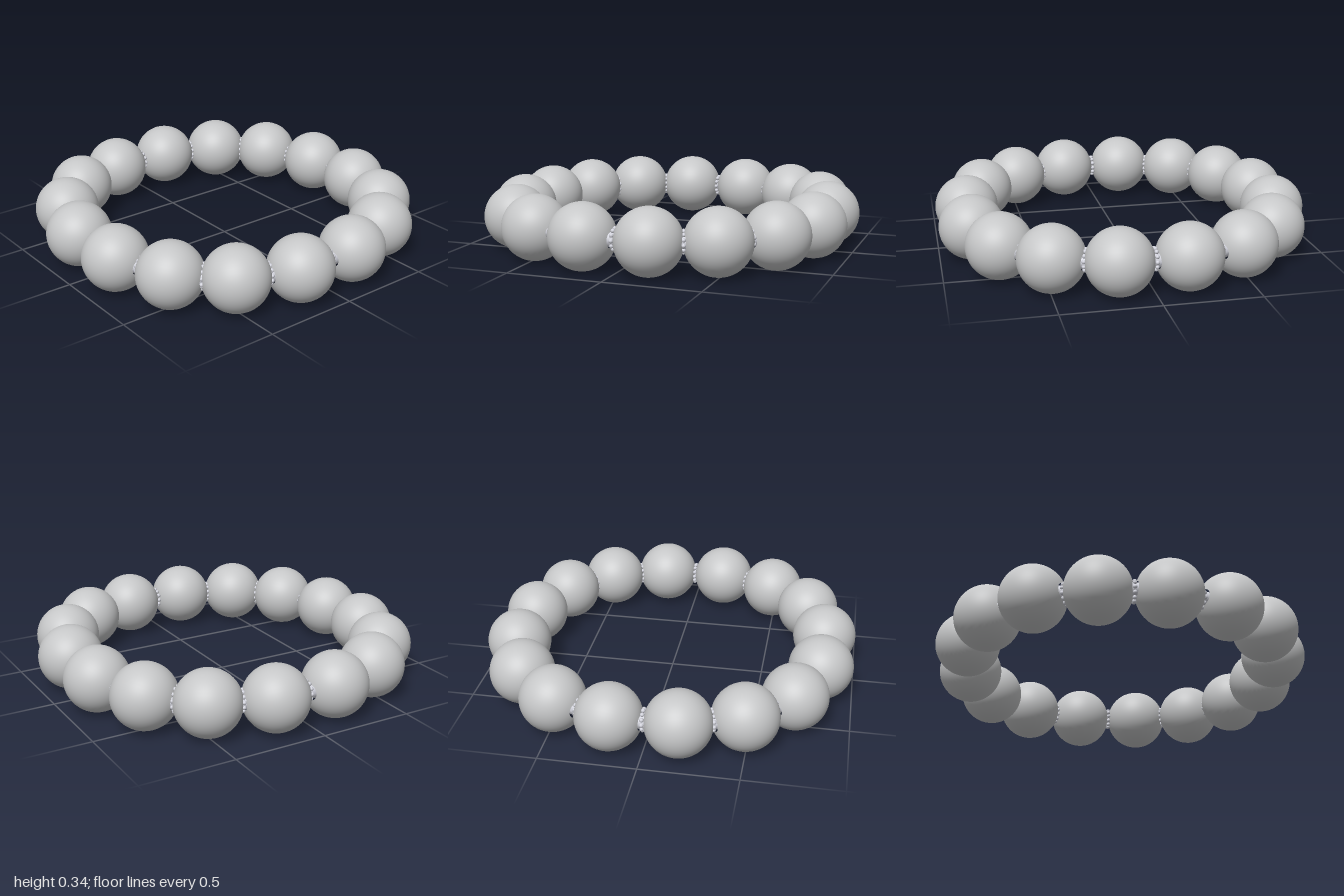
import * as THREE from 'three';

const BEAD_R = 0.172;
const HOLE_R = 0.04;
const UP = new THREE.Vector3(0, 1, 0);

// Round bead with a drilled hole along its local y axis
function beadGeometry() {
  const start = Math.asin(HOLE_R / BEAD_R);
  const points = [];
  for (let i = 0; i <= 32; i++) {
    const a = Math.PI - start - (i / 32) * (Math.PI - 2 * start);
    points.push(new THREE.Vector2(BEAD_R * Math.sin(a), BEAD_R * Math.cos(a)));
  }
  return new THREE.LatheGeometry(points, 48);
}

// Bead centres: one quarter of the loop, turned four times
function beadCentres() {
  const quarter = [[0.174, 0.827], [0.488, 0.715], [0.715, 0.488], [0.827, 0.174]];
  const centres = [];
  for (let q = 0; q < 4; q++) {
    for (const [x, z] of quarter) {
      centres.push(new THREE.Vector3(x, BEAD_R, z).applyAxisAngle(UP, q * Math.PI / 2));
    }
  }
  return centres;
}

export function createModel() {
  const pearl = new THREE.MeshStandardMaterial({ color: 0xc6c7c8 });
  pearl.name = 'pearl grey';
  const silver = new THREE.MeshStandardMaterial({ color: 0xd2d3dc });
  silver.name = 'pale silver';

  const group = new THREE.Group();
  group.name = 'beadBracelet';
  const centres = beadCentres();
  const beadGeo = beadGeometry();
  const studGeo = new THREE.SphereGeometry(0.011, 10, 8);

  centres.forEach((centre, i) => {
    const next = centres[(i + 1) % centres.length];
    const prev = centres[(i + centres.length - 1) % centres.length];

    // Bead, its hole following the loop
    const bead = new THREE.Mesh(beadGeo, pearl);
    bead.name = 'bead';
    bead.position.copy(centre);
    bead.quaternion.setFromUnitVectors(UP, next.clone().sub(prev).normalize());
    group.add(bead);

    // Spacer: a ring of tiny studs where two beads meet
    const step = next.clone().sub(centre);
    const half = step.length() / 2;
    const crease = Math.sqrt(Math.max(0, BEAD_R ** 2 - half ** 2));
    const ringR = Math.max(0.052, crease);
    const spacer = new THREE.Group();
    spacer.name = 'spacer';
    spacer.position.copy(centre).add(next).multiplyScalar(0.5);
    spacer.quaternion.setFromUnitVectors(UP, step.normalize());
    for (let k = 0; k < 12; k++) {
      const a = k * Math.PI / 6;
      const stud = new THREE.Mesh(studGeo, silver);
      stud.name = 'spacerStud';
      stud.position.set(ringR * Math.cos(a), 0, ringR * Math.sin(a));
      spacer.add(stud);
    }
    group.add(spacer);
  });

  // Cord threaded through the beads
  const cordPath = new THREE.CatmullRomCurve3(centres, true);
  const cord = new THREE.Mesh(new THREE.TubeGeometry(cordPath, 96, 0.039, 12, true), silver);
  cord.name = 'cord';
  group.add(cord);

  return group;
}
